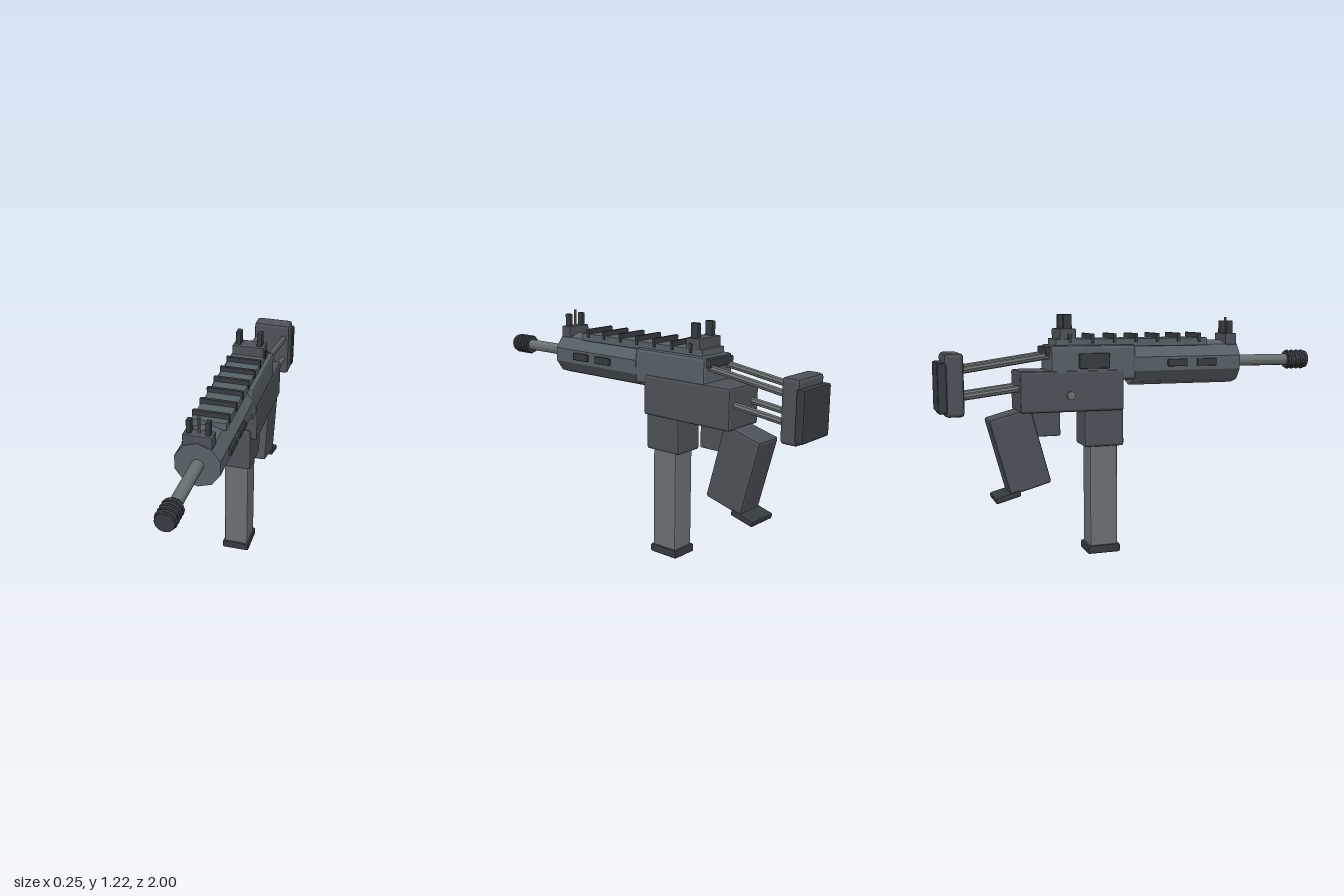
import * as THREE from 'three';
import { RoundedBoxGeometry } from 'three/addons/geometries/RoundedBoxGeometry.js';

const mat = (color) => new THREE.MeshStandardMaterial({ color, flatShading: true });

export function createModel() {
  const model = new THREE.Group();
  const body = new THREE.Group();
  body.name = 'body';
  body.position.x = 0.004;
  model.add(body);

  const steel = mat(0x566167), frame = mat(0x4b5258), dark = mat(0x343b40), light = mat(0x697173);

  const add = (name, geometry, material) => {
    const mesh = new THREE.Mesh(geometry, material);
    mesh.name = name;
    body.add(mesh);
    return mesh;
  };
  // Box from half width about x, y range and z range, with a small edge bevel
  const box = (name, m, halfX, y0, y1, z0, z1, bevel = 0.01, x = 0) => {
    const w = halfX * 2, h = y1 - y0, d = z1 - z0;
    const g = bevel ? new RoundedBoxGeometry(w, h, d, 1, bevel) : new THREE.BoxGeometry(w, h, d);
    const mesh = add(name, g, m);
    mesh.position.set(x, (y0 + y1) / 2, (z0 + z1) / 2);
    return mesh;
  };
  // Cylinder between two points
  const rod = (name, m, r, a, b, sides) => {
    const p = new THREE.Vector3(...a), q = new THREE.Vector3(...b);
    const mesh = add(name, new THREE.CylinderGeometry(r, r, p.distanceTo(q), sides), m);
    mesh.position.copy(p).add(q).multiplyScalar(0.5);
    mesh.quaternion.setFromUnitVectors(new THREE.Vector3(0, 1, 0), q.sub(p).normalize());
    return mesh;
  };

  // Ten-sided handguard, one edge at the top
  const guard = new THREE.CylinderGeometry(0.113, 0.113, 0.58, 10);
  guard.rotateX(Math.PI / 2);
  guard.rotateZ(Math.PI);
  add('handguard', guard, steel).position.set(0, 0.972, 0.267);
  for (const s of [-1, 1]) for (const z of [0.205, 0.366])
    box('handguardVent', dark, 0.01, 0.957, 0.994, z - 0.053, z + 0.053, 0.004, s * 0.11);

  // Barrel and ribbed muzzle
  rod('barrel', light, 0.03, [0, 0.973, 0.5], [0, 0.973, 0.9], 12);
  rod('muzzle', dark, 0.046, [0, 0.973, 0.88], [0, 0.973, 1], 12);
  for (const z of [0.893, 0.921, 0.95, 0.978]) {
    const ring = add('muzzleRing', new THREE.TorusGeometry(0.043, 0.01, 6, 12), dark);
    ring.position.set(0, 0.973, z);
  }

  // Receivers
  box('upperReceiver', steel, 0.11, 0.895, 1.07, -0.455, -0.02, 0.015);
  box('lowerReceiver', frame, 0.116, 0.743, 0.947, -0.61, -0.083, 0.012);
  box('rearPlate', dark, 0.09, 1.02, 1.062, -0.478, -0.44, 0.006);
  box('ejectionPort', dark, 0.01, 0.955, 1.03, -0.315, -0.16, 0.004, -0.113);
  rod('button', light, 0.022, [-0.134, 0.826, -0.36], [-0.1, 0.826, -0.36], 8);

  // Top rail with cross ribs
  box('rail', steel, 0.085, 1.06, 1.1, -0.425, 0.38, 0.004);
  for (let i = 0; i < 7; i++) {
    const z = 0.334 - i * 0.1145;
    box('railRib', dark, 0.09, 1.08, 1.125, z - 0.009, z + 0.009, 0.003);
  }

  // Front and rear sights
  box('frontSightBase', frame, 0.07, 1.06, 1.12, 0.49, 0.553, 0.006);
  box('rearSightBase', frame, 0.083, 1.09, 1.15, -0.405, -0.32, 0.006);
  for (const s of [-1, 1]) {
    box('frontSightPost', dark, 0.011, 1.11, 1.185, 0.504, 0.538, 0.004, s * 0.045);
    box('rearSightPost', dark, 0.013, 1.14, 1.22, -0.382, -0.338, 0.004, s * 0.055);
  }
  rod('frontSightPin', light, 0.007, [0, 1.1, 0.521], [0, 1.203, 0.521], 8);

  // Magazine well and magazine
  box('magazineWell', frame, 0.084, 0.558, 0.8, -0.282, -0.075, 0.012);
  box('magazine', light, 0.065, 0.03, 0.6, -0.25, -0.105, 0.008);
  box('magazineBase', dark, 0.074, 0, 0.043, -0.264, -0.093, 0.008);

  // Raked grip with its heel plate
  box('gripMount', frame, 0.06, 0.62, 0.76, -0.56, -0.4, 0.006);
  const grip = box('grip', frame, 0.076, 0.355, 0.745, -0.712, -0.498, 0.012);
  grip.rotation.x = -0.262;
  const heel = box('gripHeel', dark, 0.084, 0.314, 0.344, -0.737, -0.607, 0.008);
  heel.rotation.x = -0.262;

  // Stock: paired rods, block and pad
  for (const s of [-1, 1]) {
    rod('upperStockRod', light, 0.017, [s * 0.069, 1.024, -0.43], [s * 0.069, 0.955, -0.9], 8);
    rod('lowerStockRod', light, 0.017, [s * 0.069, 0.876, -0.5], [s * 0.069, 0.827, -0.9], 8);
  }
  box('stockBlock', frame, 0.103, 0.736, 1.04, -0.968, -0.874, 0.018);
  box('stockPad', dark, 0.11, 0.754, 0.996, -1, -0.955, 0.01);

  return model;
}
